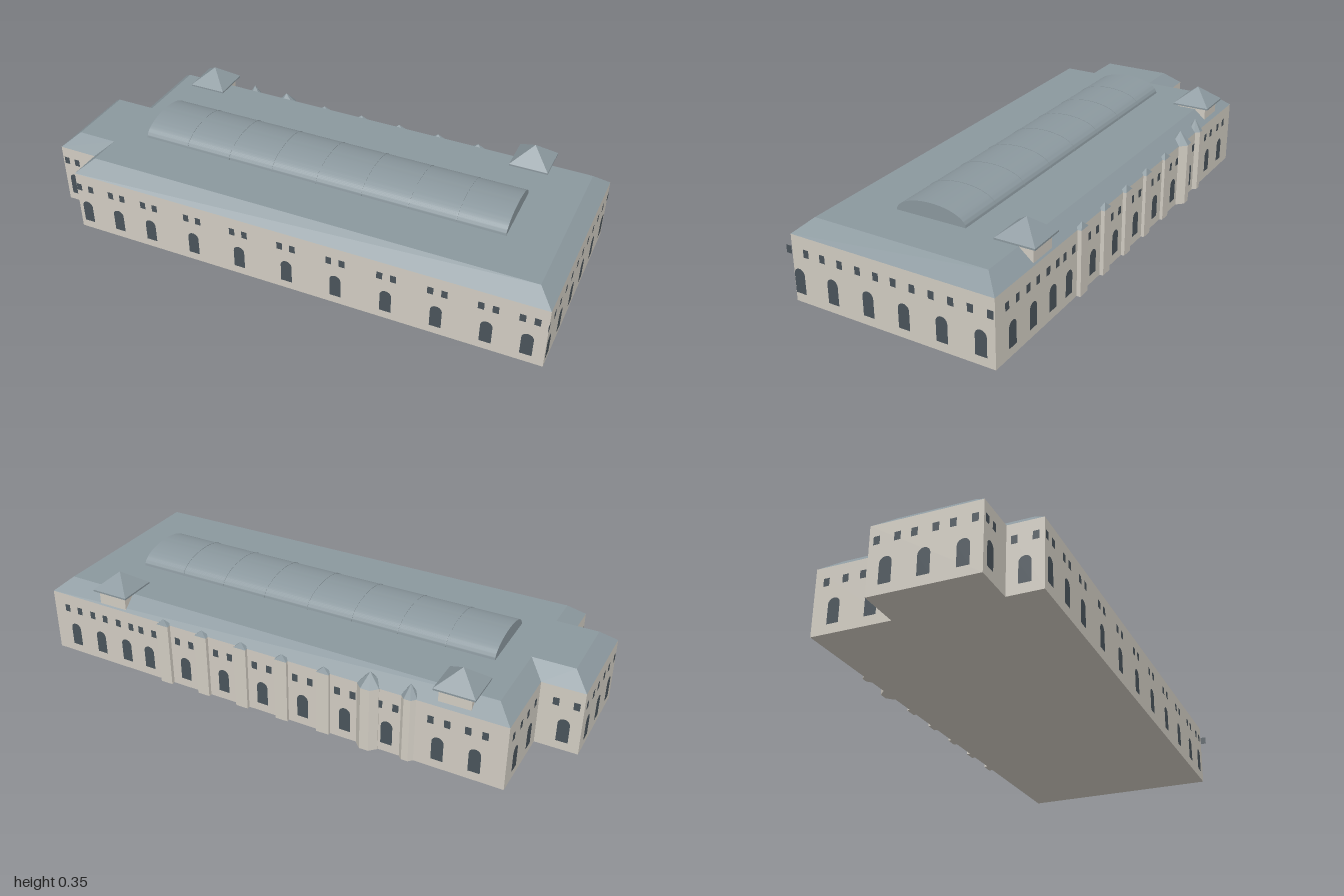
import * as THREE from 'three';
import { toCreasedNormals } from 'three/addons/utils/BufferGeometryUtils.js';

const EAVE = 0.235, ROOF = 0.282, INSET = 0.055;

// Footprint corners (along, across), walked so each wall runs left to right seen from outside
const OUTLINE = [
  [-0.841, 0.365], [0.909, 0.354], [0.918, -0.39], [-0.836, -0.4],
  [-0.838, -0.12], [-0.986, -0.12], [-0.987, 0.245], [-0.84, 0.245],
].map(([x, z]) => new THREE.Vector2(x, z));

const wallMat = new THREE.MeshStandardMaterial({ color: 0xd2cdc3, flatShading: true });
const roofMat = new THREE.MeshStandardMaterial({ color: 0x8b989e, flatShading: true });
const vaultMat = new THREE.MeshStandardMaterial({ color: 0x8b989e });
const glassMat = new THREE.MeshStandardMaterial({ color: 0x4a545b, side: THREE.DoubleSide });

const edge = (i) => {
  const a = OUTLINE[i], b = OUTLINE[(i + 1) % OUTLINE.length];
  const d = b.clone().sub(a).normalize();
  return { a, b, d, n: new THREE.Vector2(-d.y, d.x) };
};

const planShape = (pts) => new THREE.Shape(pts.map((p) => new THREE.Vector2(p.x, -p.y)));

function add(parent, name, geometry, material, x = 0, y = 0, z = 0) {
  const mesh = new THREE.Mesh(geometry, material);
  mesh.name = name;
  mesh.position.set(x, y, z);
  parent.add(mesh);
  return mesh;
}

// Four-sided hipped cap with its base at y = 0
function pyramid(w, h, d) {
  const g = new THREE.ConeGeometry(Math.SQRT1_2, 1, 4);
  return g.rotateY(Math.PI / 4).translate(0, 0.5, 0).scale(w, h, d);
}

// Sloping roof border from the eaves to the inset flat roof
function roofSlopes(inner) {
  const pos = [];
  OUTLINE.forEach((a, i) => {
    const j = (i + 1) % OUTLINE.length, b = OUTLINE[j], c = inner[i], d = inner[j];
    pos.push(a.x, EAVE, a.y, b.x, EAVE, b.y, d.x, ROOF, d.y);
    pos.push(a.x, EAVE, a.y, d.x, ROOF, d.y, c.x, ROOF, c.y);
  });
  const g = new THREE.BufferGeometry();
  g.setAttribute('position', new THREE.Float32BufferAttribute(pos, 3));
  g.computeVertexNormals();
  return g;
}

// Half-elliptical barrel running along x
function barrel(halfWidth, height, length) {
  const s = new THREE.Shape();
  s.absellipse(0, 0, halfWidth, height, 0, Math.PI, false);
  s.closePath();
  const g = new THREE.ExtrudeGeometry(s, { depth: length, bevelEnabled: false, curveSegments: 24 });
  g.translate(0, 0, -length / 2).rotateY(Math.PI / 2);
  return toCreasedNormals(g, 0.6);
}

function archGeometry(w, y0, y1) {
  const r = w / 2, s = new THREE.Shape();
  s.moveTo(-r, y0).lineTo(r, y0).lineTo(r, y1 - r);
  s.absarc(0, y1 - r, r, 0, Math.PI, false);
  s.closePath();
  return new THREE.ShapeGeometry(s, 8);
}

export function createModel() {
  const model = new THREE.Group();
  model.name = 'stationHall';
  const hall = new THREE.Group();
  hall.name = 'building';
  hall.rotation.y = THREE.MathUtils.degToRad(-24.4);
  model.add(hall);

  // Walls
  const walls = new THREE.ExtrudeGeometry(planShape(OUTLINE), { depth: EAVE, bevelEnabled: false });
  add(hall, 'walls', walls.rotateX(-Math.PI / 2), wallMat);

  // Roof border and flat roof
  const inner = OUTLINE.map((p, i) => {
    const n1 = edge((i + OUTLINE.length - 1) % OUTLINE.length).n, n2 = edge(i).n;
    return p.clone().addScaledVector(n1.clone().add(n2), -INSET / (1 + n1.dot(n2)));
  });
  add(hall, 'roofSlopes', roofSlopes(inner), roofMat);
  add(hall, 'flatRoof', new THREE.ShapeGeometry(planShape(inner)).rotateX(-Math.PI / 2), roofMat, 0, ROOF, 0);

  // Barrel vault with seam ribs
  add(hall, 'vault', barrel(0.128, 0.053, 1.373), vaultMat, -0.001, ROOF, -0.013);
  const rib = barrel(0.1295, 0.0545, 0.004);
  for (let i = 1; i < 8; i++) add(hall, 'vaultRib', rib, vaultMat, -0.688 + (1.373 * i) / 8, ROOF, -0.013);

  // Arched windows, each with a pair of small square ones above
  const arch = archGeometry(0.041, 0.032, 0.12);
  const small = new THREE.PlaneGeometry(0.021, 0.028).translate(0, 0.18, 0);
  function facade(name, i, distances, gap = 0.034) {
    const { a, d, n } = edge(i);
    const wall = new THREE.Group();
    wall.name = name;
    wall.position.set(a.x + n.x * 0.002, 0, a.y + n.y * 0.002);
    wall.rotation.y = Math.atan2(n.x, n.y);
    hall.add(wall);
    for (const t of distances) {
      add(wall, 'archedWindow', arch, glassMat, t);
      for (const s of [-gap, gap]) add(wall, 'upperWindow', small, glassMat, t + s);
    }
  }
  facade('frontWindows', 0, [0.035, 0.168, 0.303, 0.479, 0.661, 0.843, 1.025, 1.207, 1.383, 1.553, 1.688].map((t) => t + 0.002), 0.04 * 0.6);
  facade('rightWindows', 1, [0.02, 0.152, 0.289, 0.422, 0.558, 0.693].map((t) => t + 0.003));
  facade('backWindows', 2, [0.83, 0.715, 0.6, 0.5, 0.343, 0.185, 0.03, -0.126, -0.283, -0.434, -0.61, -0.735].map((u) => 0.918 - u), 0.028);
  facade('leftBackWindows', 3, [0.075, 0.205]);
  facade('wingBackWindows', 4, [0.09]);
  facade('wingEndWindows', 5, [0.06, 0.1825, 0.305]);
  facade('wingFrontWindows', 6, [0.04], 0.022);
  facade('leftFrontWindows', 7, [0.06]);

  // Roof pavilions at the back corners
  for (const x of [-0.652, 0.648]) {
    const tower = new THREE.Group();
    tower.name = 'pavilion';
    tower.position.set(x, 0, -0.331);
    add(tower, 'pavilionBody', new THREE.BoxGeometry(0.11, 0.065, 0.11), wallMat, 0, EAVE + 0.0275, 0);
    add(tower, 'pavilionEave', new THREE.BoxGeometry(0.14, 0.006, 0.14), roofMat, 0, 0.294, 0);
    add(tower, 'pavilionRoof', pyramid(0.14, 0.058, 0.14), roofMat, 0, 0.297, 0);
    hall.add(tower);
  }

  // Shallow piers with small caps along the back wall
  for (let i = 0; i < 5; i++) {
    const x = -0.205 + i * 0.157;
    add(hall, 'pier', new THREE.BoxGeometry(0.046, EAVE, 0.024), wallMat, x, EAVE / 2, -0.395);
    add(hall, 'pierCap', pyramid(0.046, 0.02, 0.024), roofMat, x, EAVE, -0.395);
  }

  // Polygonal stair turrets on the back wall
  for (const [x, r] of [[-0.505, 0.03], [-0.365, 0.042]]) {
    const z = -0.384;
    add(hall, 'turret', new THREE.CylinderGeometry(r, r, EAVE, 8).rotateY(Math.PI / 8), wallMat, x, EAVE / 2, z);
    add(hall, 'turretRoof', new THREE.ConeGeometry(r, 0.045, 8).rotateY(Math.PI / 8), roofMat, x, EAVE + 0.0225, z);
  }

  return model;
}
